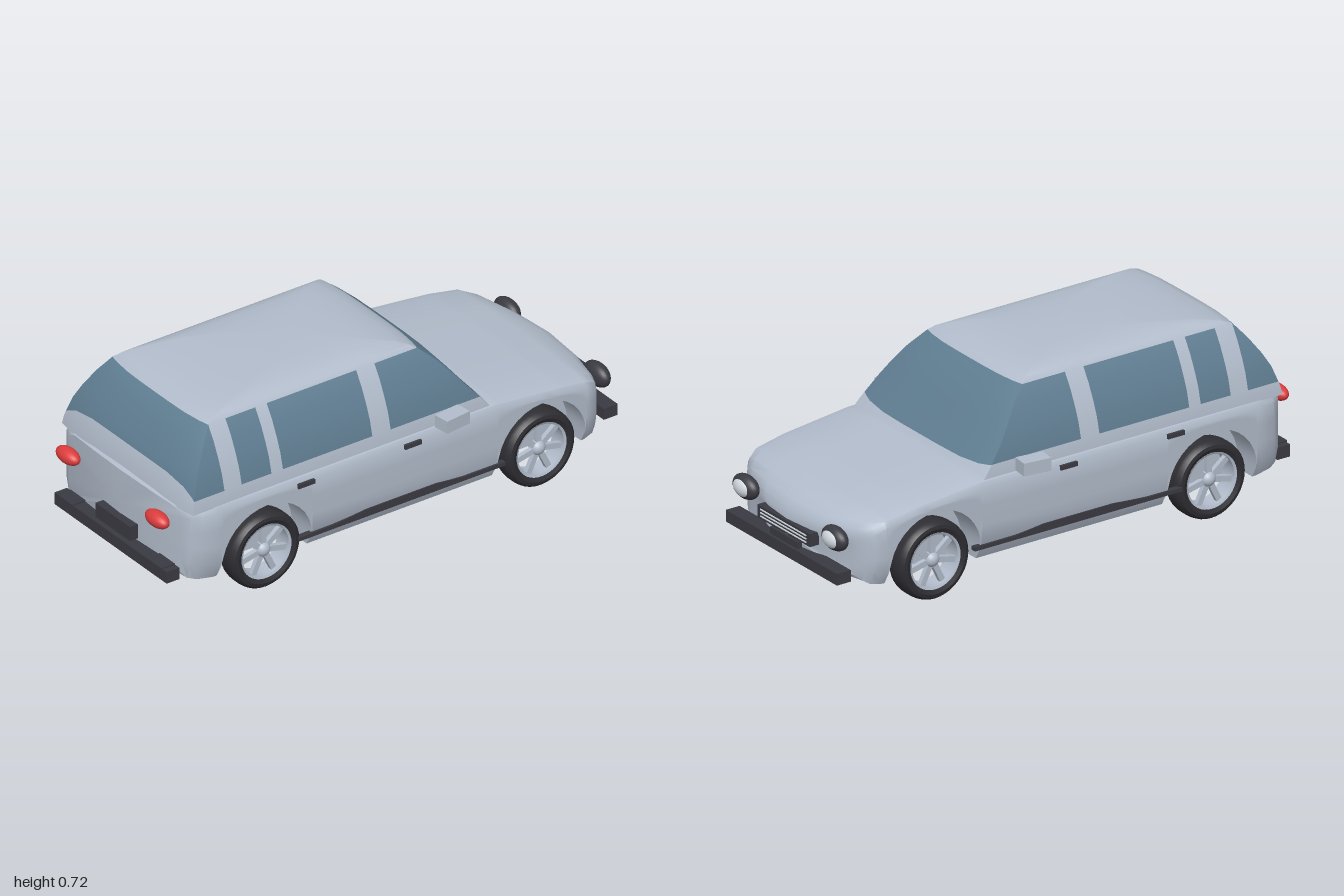
import * as THREE from 'three';
import { toCreasedNormals } from 'three/addons/utils/BufferGeometryUtils.js';

const mat = (name, color) => Object.assign(new THREE.MeshStandardMaterial({ color }), { name });

// Piecewise linear lookup in a list of [t, value, value...] rows
function lookup(rows, t) {
  if (t <= rows[0][0]) return rows[0].slice(1);
  for (let i = 1; i < rows.length; i++) {
    const a = rows[i - 1], b = rows[i];
    if (t <= b[0]) return a.slice(1).map((v, k) => v + (b[k + 1] - v) * (t - a[0]) / (b[0] - a[0]));
  }
  return rows[rows.length - 1].slice(1);
}

// Mirrors a half ring that starts and ends on x = 0
const mirrorRing = half => half.concat(half.slice(1, -1).reverse().map(([x, y, z]) => [-x, y, z]));

// Skins closed rings; materialOf picks the material index of each quad
function loft(rings, crease, materialOf = () => 0) {
  const n = rings[0].length, faces = [[], []];
  for (let i = 0; i < rings.length - 1; i++) {
    for (let j = 0; j < n; j++) {
      const a = i * n + j, b = i * n + (j + 1) % n;
      faces[materialOf(i, j)].push(a, b, b + n, a, b + n, a + n);
    }
  }
  const g = new THREE.BufferGeometry();
  g.setAttribute('position', new THREE.Float32BufferAttribute(rings.flat(2), 3));
  g.setIndex(faces.flat());
  g.addGroup(0, faces[0].length, 0);
  g.addGroup(faces[0].length, faces[1].length, 1);
  return toCreasedNormals(g, crease);
}

const WHEELS = [-0.615, 0.585], ARCH = 0.195;

// Lower body: cross-sections along z, with the wheel wells stepped into them
function bodyGeometry() {
  // z, half width, top, bottom
  const rows = [
    [-0.972, 0.30, 0.27, 0.15], [-0.962, 0.335, 0.30, 0.14], [-0.94, 0.365, 0.325, 0.125],
    [-0.90, 0.39, 0.348, 0.112], [-0.83, 0.405, 0.37, 0.104], [-0.7, 0.412, 0.392, 0.1],
    [-0.42, 0.415, 0.422, 0.1], [0.6, 0.415, 0.422, 0.1], [0.8, 0.41, 0.422, 0.105],
    [0.87, 0.397, 0.422, 0.115], [0.91, 0.375, 0.42, 0.125], [0.93, 0.34, 0.41, 0.145],
  ];
  const stations = rows.map(r => r[0]);
  for (const c of WHEELS) {
    for (let k = 0; k <= 16; k++) stations.push(c + ARCH * Math.cos(k * Math.PI / 16));
    stations.push(c - ARCH - 0.001, c + ARCH + 0.001);
  }
  stations.sort((a, b) => a - b);
  const rings = stations.map(z => {
    const [w, yt, yb] = lookup(rows, z);
    let arch = yb;
    for (const c of WHEELS) {
      const d = Math.abs(z - c);
      if (d <= ARCH + 1e-6) arch = 0.15 + Math.sqrt(Math.max(0, ARCH * ARCH - d * d));
    }
    const side = y => w * (1 - 0.09 * Math.max(0, (0.2 - y) / 0.1) ** 2);
    const inner = Math.min(0.29, w * 0.8), ys = yt - 0.04;
    const half = [[0, yb], [inner, yb], [inner, arch]];
    for (let k = 0; k <= 4; k++) {
      const y = arch + (ys - arch) * k / 4;
      half.push([side(y), y]);
    }
    half.push([w - 0.012, yt - 0.02], [w * 0.87, yt - 0.008], [w * 0.5, yt - 0.002], [0, yt]);
    // The nose and tail bow in plan
    const bow = 0.06 * Math.max(0, Math.min(1, (-z - 0.82) / 0.13)) - 0.02 * Math.max(0, (z - 0.83) / 0.1);
    return mirrorRing(half.map(([x, y]) => [x, y, z + bow * (x / w) ** 2]));
  });
  const cap = (ring, y, z) => ring.map(() => [0, y, z]);
  rings.unshift(cap(rings[0], 0.21, -0.976));
  rings.push(cap(rings[0], 0.28, 0.935));
  return loft(rings, 0.6);
}

// Cabin: horizontal rings stacked upward, glass and pillars chosen per quad
function cabinGeometry() {
  // y, half width, front z, rear z
  const rows = [
    [0.40, 0.397, -0.42, 0.918], [0.43, 0.393, -0.395, 0.913], [0.50, 0.377, -0.335, 0.892],
    [0.56, 0.353, -0.288, 0.86], [0.62, 0.324, -0.237, 0.82], [0.675, 0.29, -0.175, 0.775],
    [0.69, 0.276, -0.15, 0.735], [0.703, 0.25, -0.11, 0.66], [0.712, 0.215, -0.05, 0.56],
    [0.718, 0.15, 0.02, 0.42], [0.721, 0, 0.2, 0.2],
  ];
  const levels = [0.40, 0.43, 0.45, 0.51, 0.56, 0.62, 0.675, 0.69, 0.703, 0.712, 0.718, 0.721];
  const pillars = [0.755, 0.68, 0.55, 0.5, 0.11, 0.03], ends = [0, 0.3, 0.6, 0.85, 0.96];
  const rings = levels.map((level, i) => {
    const at = y => lookup(rows, y);
    const half = [], [w, zf, zb] = at(level);
    // Rear glass starts higher in the middle
    for (const f of ends) {
      const lift = i === 2 ? 0.05 : i === 3 ? 0.012 : 0;
      const y = level + lift * (1 - f ** 6), r = at(y);
      half.push([f * r[0], y, r[2] - 0.02 * f ** 4]);
    }
    half.push([w, level, zb - 0.02]);
    for (const p of pillars) {
      const k = (p + 0.155) / 0.91;
      half.push([w, level, level > 0.675 ? zf + 0.02 + k * (zb - zf - 0.04) : p]);
    }
    half.push([w, level, zf + 0.02]);
    for (const f of [...ends].reverse()) {
      const y = level - (i === 2 ? 0.015 * (1 - f ** 6) : 0), r = at(y);
      half.push([f * r[0], y, r[1] + 0.02 * f ** 4]);
    }
    return mirrorRing(half);
  });
  return loft(rings, 0.7, (i, j) => {
    const s = j < 17 ? j : 33 - j;
    return i >= 2 && i < 6 && ![6, 8, 10].includes(s) ? 1 : 0;
  });
}

export function createModel() {
  const car = new THREE.Group();
  car.name = 'car';
  const paint = mat('silver paint', 0xb2bccb), glass = mat('blue glass', 0x5f7d91);
  const dark = mat('dark trim', 0x3a3a42), rubber = mat('tyre rubber', 0x2e2e33);
  const red = mat('red lamp', 0xdc3c3c), lens = mat('lamp lens', 0xd3dae0);

  const add = (name, geo, material, x = 0, y = 0, z = 0, parent = car) => {
    const m = new THREE.Mesh(geo, material);
    m.name = name;
    m.position.set(x, y, z);
    parent.add(m);
    return m;
  };
  const box = (name, material, sx, sy, sz, x, y, z, parent) =>
    add(name, new THREE.BoxGeometry(sx, sy, sz), material, x, y, z, parent);
  const ellipsoid = (name, material, rx, ry, rz, x, y, z) =>
    add(name, new THREE.SphereGeometry(1, 28, 18).scale(rx, ry, rz), material, x, y, z);

  add('body', bodyGeometry(), paint);
  add('cabin', cabinGeometry(), [paint, glass]);

  // Bumpers, plates and grille
  box('frontBumper', dark, 0.68, 0.045, 0.06, 0, 0.152, -0.965);
  box('rearBumper', dark, 0.68, 0.047, 0.055, 0, 0.143, 0.945);
  box('frontPlate', dark, 0.17, 0.03, 0.02, 0, 0.186, -0.975);
  box('rearPlate', dark, 0.208, 0.058, 0.035, 0, 0.206, 0.945);
  box('grille', dark, 0.32, 0.05, 0.04, 0, 0.235, -0.965);
  for (const y of [0.222, 0.235, 0.248]) box('grilleBar', lens, 0.28, 0.004, 0.006, 0, y, -0.986);

  // Sill outline, drawn along z
  const sill = new THREE.Shape([[-0.45, 0.148], [0.45, 0.148], [0.45, 0.163], [0.3, 0.164], [0.15, 0.178],
    [-0.15, 0.178], [-0.27, 0.164], [-0.45, 0.163]].map(p => new THREE.Vector2(...p)));
  const sillGeo = new THREE.ExtrudeGeometry(sill, { depth: 0.022, bevelEnabled: false }).rotateY(-Math.PI / 2);

  // Tyre and rim profiles
  const ring = pts => new THREE.LatheGeometry(pts.map(p => new THREE.Vector2(...p)), 40).rotateZ(-Math.PI / 2);
  const tyreGeo = toCreasedNormals(ring([[0.106, -0.038], [0.125, -0.047], [0.138, -0.044], [0.147, -0.034], [0.15, -0.018],
    [0.15, 0.018], [0.147, 0.034], [0.138, 0.044], [0.125, 0.047], [0.106, 0.038], [0.106, -0.038]]), 0.6);
  const rimGeo = toCreasedNormals(ring([[0.1, -0.036], [0.109, -0.04], [0.109, 0.04], [0.1, 0.036], [0.1, -0.036]]), 0.6);

  for (const s of [1, -1]) {
    // Lamps
    ellipsoid('tailLamp', red, 0.061, 0.03, 0.032, s * 0.27, 0.35, 0.963);
    ellipsoid('headlampRim', dark, 0.068, 0.046, 0.034, s * 0.272, 0.28, -0.955);
    ellipsoid('headlampLens', lens, 0.052, 0.036, 0.03, s * 0.272, 0.28, -0.965);
    box('bumperPad', dark, 0.09, 0.022, 0.058, s * 0.27, 0.161, 0.948);

    // Mirrors, handles and sills
    const mirror = box('mirror', paint, 0.065, 0.05, 0.11, s * 0.432, 0.431, -0.208);
    mirror.rotation.y = s * 0.12;
    for (const z of [0.42, -0.045]) box('doorHandle', dark, 0.02, 0.017, 0.072, s * 0.414, 0.377, z);
    add('sill', sillGeo, dark, s * 0.406 + 0.011, 0, 0);

    // Wheels
    for (const z of WHEELS) {
      const wheel = new THREE.Group();
      wheel.name = 'wheel';
      wheel.position.set(s * 0.367, 0.15, z);
      wheel.rotation.y = s > 0 ? 0 : Math.PI;
      car.add(wheel);
      add('tyre', tyreGeo, rubber, 0, 0, 0, wheel);
      add('rim', rimGeo, paint, 0, 0, 0, wheel);
      add('hub', new THREE.SphereGeometry(0.03, 20, 14), paint, 0.012, 0, 0, wheel);
      for (let k = 0; k < 7; k++) {
        const spoke = new THREE.BoxGeometry(0.018, 0.09, 0.022).translate(0.015, 0.06, 0);
        add('spoke', spoke.rotateX(k * Math.PI * 2 / 7), paint, 0, 0, 0, wheel);
      }
    }
  }
  return car;
}
